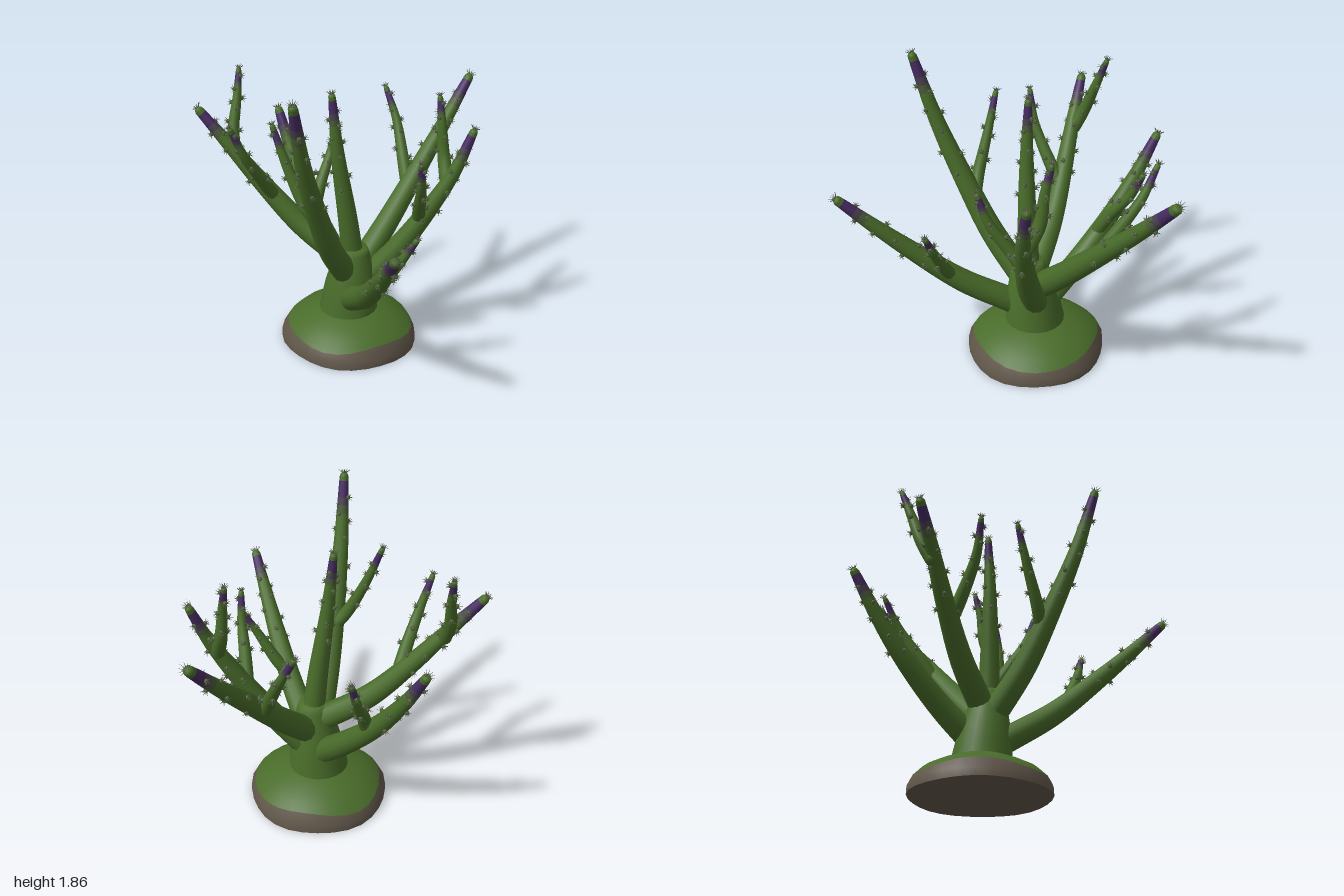
import * as THREE from 'three';
import { mergeGeometries } from 'three/addons/utils/BufferGeometryUtils.js';

const mat = (name, color, side = THREE.FrontSide) => {
  const m = new THREE.MeshStandardMaterial({ color, side });
  m.name = name;
  return m;
};
const V = (p) => new THREE.Vector3(...p);
const UP = new THREE.Vector3(0, 1, 0);
const RADIAL = 12;

export function createModel() {
  const green = mat('cactusGreen', 0x496c2a);
  const fade = mat('fadingGreen', 0x4a5a3a);
  const dusk = mat('fadingPurple', 0x494150);
  const purple = mat('tipPurple', 0x472c62);
  const soil = mat('soilBrown', 0x61574a, THREE.DoubleSide);
  const budMat = mat('budGreen', 0x4a6135);
  const spineMat = mat('spineGrey', 0x5f6450, THREE.DoubleSide);

  const model = new THREE.Group();
  model.name = 'branchingCactus';
  const add = (parent, name, geo, material) => {
    const m = new THREE.Mesh(geo, material);
    m.name = name;
    parent.add(m);
    return m;
  };

  // Lumpy foot: lathes pushed out of round by one shared rule
  const lumpy = (profile) => {
    const g = new THREE.LatheGeometry(profile.map((p) => new THREE.Vector2(...p)), 28);
    const pos = g.attributes.position;
    for (let i = 0; i < pos.count; i++) {
      const x = pos.getX(i), y = pos.getY(i), z = pos.getZ(i);
      const a = Math.atan2(z, x), r = Math.hypot(x, z);
      const s = 1 + (r > 0.2 ? 0.015 * Math.sin(2 * a + 1) + 0.015 * Math.sin(5 * a) : 0);
      // the soil line rises and falls around the foot
      const wave = Math.abs(y - 0.1) < 0.02 ? 0.015 * Math.cos(3 * a - 2.4) : 0;
      const w = s - wave * 1.6;
      pos.setXYZ(i, 0.125 + x * w, y + wave, -0.097 + z * w * 1.015);
    }
    return g;
  };
  add(model, 'footUnderside', lumpy([[0.001, 0.03], [0.25, 0.02], [0.42, 0]]), soil);
  add(model, 'footSkirt', lumpy([[0.42, 0], [0.418, 0.05], [0.388, 0.105]]), soil);
  add(model, 'footMound', lumpy([[0.388, 0.105], [0.34, 0.148], [0.27, 0.185], [0.21, 0.21], [0.17, 0.222]]), green);

  // Trunk: tapering and leaning slightly toward the top
  const trunkGeo = new THREE.LatheGeometry(
    [[0.185, 0.2], [0.172, 0.3], [0.158, 0.4], [0.13, 0.52], [0.1, 0.62], [0.085, 0.655], [0.001, 0.66]]
      .map((p) => new THREE.Vector2(...p)), 20);
  const tp = trunkGeo.attributes.position;
  for (let i = 0; i < tp.count; i++) {
    const t = (tp.getY(i) - 0.2) / 0.46;
    tp.setX(i, tp.getX(i) + 0.12 + 0.035 * t);
    tp.setZ(i, tp.getZ(i) - 0.09 + 0.035 * t);
  }
  add(model, 'trunk', trunkGeo, green);

  // One thin spine pointing along dir
  const spine = (at, dir, length) => {
    const g = new THREE.ConeGeometry(0.0035, length, 4, 1, true);
    g.translate(0, length / 2, 0);
    g.applyQuaternion(new THREE.Quaternion().setFromUnitVectors(UP, dir));
    return g.translate(at.x, at.y, at.z);
  };
  // A fan of spines splayed around an axis
  const fan = (at, axis, n, splay, length) => {
    const side = new THREE.Vector3(0.31, 0.2, 0.93).cross(axis).normalize();
    const list = [];
    for (let k = 0; k < n; k++) {
      const out = side.clone().applyAxisAngle(axis, (k / n) * Math.PI * 2);
      list.push(spine(at, axis.clone().addScaledVector(out, splay).normalize(), length));
    }
    return list;
  };

  // Tapered branch with a painted tip, rounded ends, spiny buds and a crown
  const branch = (name, pts, r0, r1, main) => {
    const grp = new THREE.Group();
    grp.name = name;
    model.add(grp);
    const segs = main ? 60 : 30;
    const curve = new THREE.CatmullRomCurve3(pts.map(V));
    const geo = new THREE.TubeGeometry(curve, segs, 1, RADIAL);
    const pos = geo.attributes.position, nor = geo.attributes.normal;
    const radius = (t) => r0 + (r1 - r0) * Math.pow(t, 1.4);
    for (let j = 0; j <= segs; j++) {
      const c = curve.getPointAt(j / segs);
      for (let i = 0; i <= RADIAL; i++) {
        const k = j * (RADIAL + 1) + i;
        const p = new THREE.Vector3().fromBufferAttribute(nor, k).multiplyScalar(radius(j / segs)).add(c);
        pos.setXYZ(k, p.x, p.y, p.z);
      }
    }
    // Colour bands along the length: green, two fades, purple, green end
    const tipBands = main ? [2, 2, 4, 1] : [1, 1, 3, 1];
    const bands = [segs - tipBands.reduce((a, b) => a + b), ...tipBands];
    let start = 0;
    bands.forEach((n, b) => {
      geo.addGroup(start * RADIAL * 6, n * RADIAL * 6, [0, 1, 2, 3, 0][b]);
      start += n;
    });
    add(grp, name + 'Stem', geo, [green, fade, dusk, purple]);
    const tip = curve.getPointAt(1), tan = curve.getTangentAt(1);
    add(grp, name + 'Root', new THREE.SphereGeometry(r0, 12, 8), green).position.copy(curve.getPointAt(0));
    add(grp, name + 'TipCap', new THREE.SphereGeometry(r1, 10, 6), green).position.copy(tip);

    // Buds follow a golden-angle spiral on the outer part
    const buds = [], spines = [];
    const count = main ? 13 : 9, from = main ? 0.5 : 0.28;
    for (let n = 0; n < count; n++) {
      const j = Math.round((from + (0.92 - from) * (n / (count - 1))) * segs);
      const k = j * (RADIAL + 1) + (Math.round(n * 0.382 * RADIAL) % RADIAL);
      const at = new THREE.Vector3().fromBufferAttribute(pos, k);
      const out = new THREE.Vector3().fromBufferAttribute(nor, k);
      buds.push(new THREE.SphereGeometry(0.014, 7, 5).translate(at.x, at.y, at.z));
      spines.push(...fan(at, out, 7, 1.1, 0.034), spine(at, out, 0.034));
    }
    const rim = tip.clone().addScaledVector(tan, r1 * 0.5);
    spines.push(...fan(rim, tan, 10, 1.3, r1 + 0.022), ...fan(rim, tan, 6, 0.5, 0.035));
    add(grp, name + 'Buds', mergeGeometries(buds), budMat);
    add(grp, name + 'Spines', mergeGeometries(spines), spineMat);
  };

  // Main branches, root to tip
  branch('backRightBranch', [[0.17, 0.47, -0.1], [0.31, 0.69, -0.3], [0.49, 1.01, -0.57], [0.62, 1.25, -0.77], [0.74, 1.48, -0.95]], 0.08, 0.03, true);
  branch('sideBranch', [[0.2, 0.38, -0.115], [0.4, 0.62, -0.12], [0.6, 0.92, -0.14], [0.74, 1.17, -0.17], [0.83, 1.4, -0.21]], 0.078, 0.025, true);
  branch('oppositeBranch', [[0.12, 0.54, -0.08], [-0.18, 0.74, -0.12], [-0.43, 0.99, -0.14], [-0.65, 1.24, -0.15], [-0.82, 1.43, -0.16]], 0.078, 0.028, true);
  branch('backLeftBranch', [[0.1, 0.36, -0.16], [-0.04, 0.53, -0.3], [-0.22, 0.77, -0.46], [-0.36, 1.03, -0.6], [-0.46, 1.26, -0.7]], 0.078, 0.028, true);
  branch('tallFrontBranch', [[0.11, 0.51, 0], [0.06, 0.75, 0.19], [0.02, 1.03, 0.35], [-0.02, 1.42, 0.54], [-0.04, 1.81, 0.68]], 0.078, 0.027, true);
  branch('lowFrontBranch', [[0.17, 0.35, 0.05], [0.29, 0.53, 0.31], [0.39, 0.75, 0.56], [0.47, 0.95, 0.77], [0.54, 1.14, 0.96]], 0.078, 0.028, true);
  branch('centreBranch', [[0.16, 0.5, -0.06], [0.12, 0.85, -0.04], [0.06, 1.28, -0.02], [0.025, 1.63, -0.02]], 0.07, 0.022, true);

  // Side shoots
  const shoots = [
    [[0.42, 0.9, -0.5], [0.38, 1.03, -0.58], [0.31, 1.25, -0.72], [0.23, 1.43, -0.79]],
    [[0.69, 1.1, -0.18], [0.66, 1.24, -0.24], [0.64, 1.42, -0.26], [0.62, 1.57, -0.29]],
    [[0.54, 0.85, -0.13], [0.55, 0.98, -0.04], [0.57, 1.15, 0.07], [0.57, 1.31, 0.13]],
    [[-0.61, 1.18, -0.16], [-0.63, 1.3, -0.22], [-0.62, 1.48, -0.29], [-0.62, 1.64, -0.35]],
    [[-0.36, 0.93, -0.12], [-0.4, 1.04, -0.05], [-0.48, 1.24, 0.06], [-0.55, 1.43, 0.11]],
    [[-0.16, 0.74, -0.42], [-0.14, 0.86, -0.49], [-0.1, 1.03, -0.61], [-0.07, 1.19, -0.68]],
    [[0.03, 0.97, 0.31], [-0.06, 1.08, 0.31], [-0.17, 1.3, 0.28], [-0.26, 1.53, 0.25]],
    [[0.33, 0.59, 0.38], [0.4, 0.68, 0.39], [0.5, 0.84, 0.42], [0.59, 0.99, 0.43]],
  ];
  shoots.forEach((pts, i) => branch('sideShoot' + (i + 1), pts, 0.042, 0.017, false));

  return model;
}
